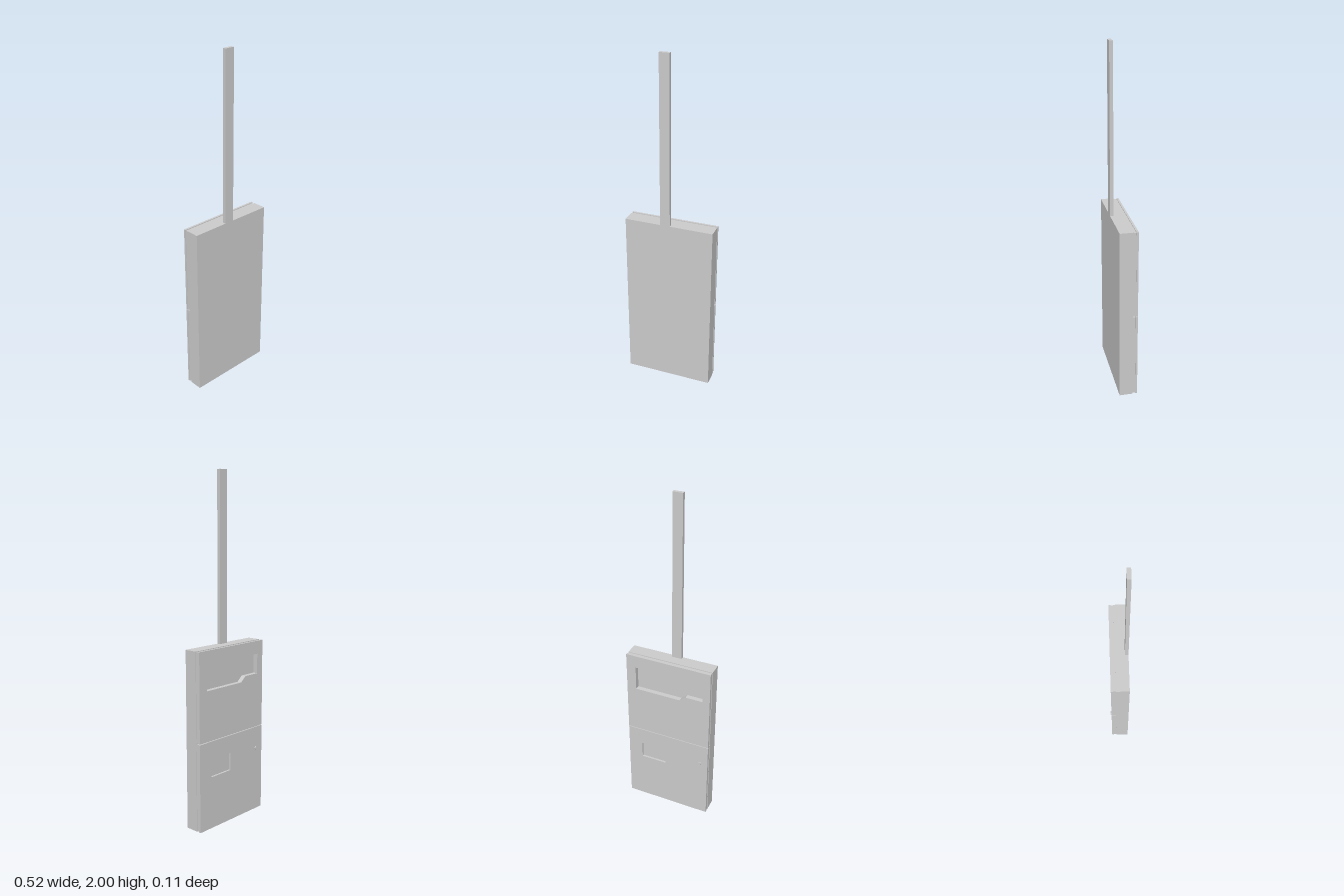
import * as THREE from 'three';

const material = new THREE.MeshStandardMaterial({ color: 0xcccccc, flatShading: true });

// Window opening with a stepped lower edge
const WINDOW = [[0.202, 0.96], [0.202, 0.812], [-0.075, 0.812], [-0.112, 0.843], [-0.215, 0.843], [-0.215, 0.96]];
const LABEL = rect(0.015, 0.172, 0.307, 0.411);

function rect(x0, x1, y0, y1) {
  return [[x0, y0], [x1, y0], [x1, y1], [x0, y1]];
}

// Flat plate between two depths, with an optional opening
function plate(name, outline, z0, z1, hole) {
  const toPoints = (list) => list.map(([x, y]) => new THREE.Vector2(x, y));
  const shape = new THREE.Shape(toPoints(outline));
  if (hole) shape.holes.push(new THREE.Path(toPoints(hole)));
  const geometry = new THREE.ExtrudeGeometry(shape, { depth: z1 - z0, bevelEnabled: false });
  geometry.translate(0, 0, z0);
  const mesh = new THREE.Mesh(geometry, material);
  mesh.name = name;
  return mesh;
}

export function createModel() {
  const model = new THREE.Group();
  model.name = 'meterCabinet';

  // Cabinet body and the conduit rising from it
  model.add(plate('cabinetBody', rect(-0.26, 0.26, 0, 1.037), -0.022, 0.055));
  model.add(plate('conduit', rect(-0.048, 0.01, 1.037, 2), 0.035, 0.055));

  // Inset rims behind the doors
  model.add(plate('upperRim', rect(-0.257, 0.257, 0.523, 1.033), -0.038, -0.022, WINDOW));
  model.add(plate('lowerRim', rect(-0.257, 0.257, 0.004, 0.515), -0.038, -0.022));

  // Doors: the upper one has a deep window, the lower one a shallow label recess
  model.add(plate('upperDoor', rect(-0.26, 0.26, 0.521, 1.037), -0.05, -0.038, WINDOW));
  model.add(plate('lowerDoor', rect(-0.26, 0.26, 0, 0.517), -0.05, -0.038, LABEL));

  // Round lock on the lower door
  const lock = new THREE.Mesh(
    new THREE.CylinderGeometry(0.0115, 0.0115, 0.008, 24),
    new THREE.MeshStandardMaterial({ color: 0xcccccc }),
  );
  lock.name = 'lock';
  lock.rotation.x = Math.PI / 2;
  lock.position.set(-0.209, 0.386, -0.052);
  model.add(lock);

  return model;
}
